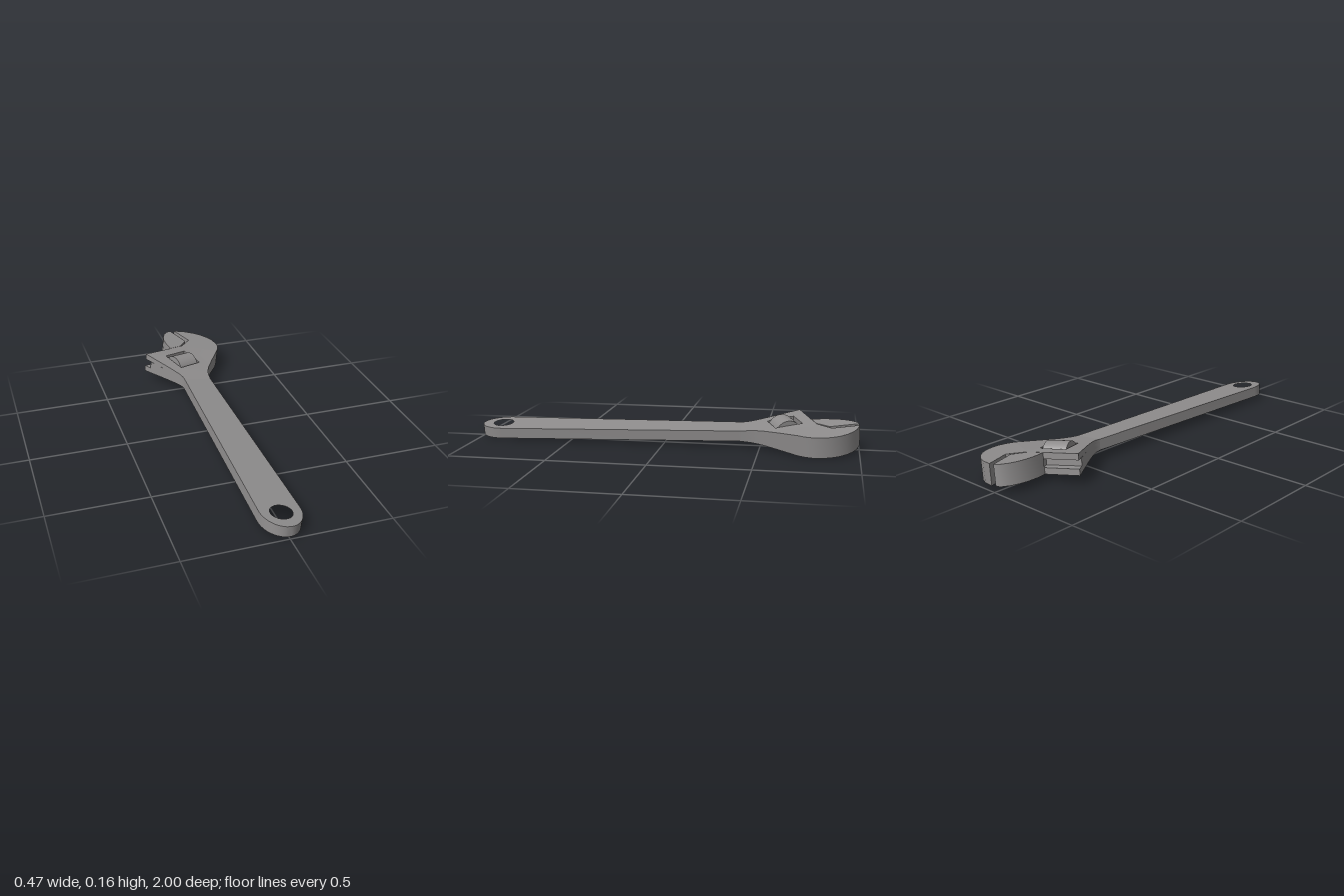
import * as THREE from 'three';
import { toCreasedNormals } from 'three/addons/utils/BufferGeometryUtils.js';

const steel = new THREE.MeshStandardMaterial({ color: 0x8f8d8d });
steel.name = 'steel';

// The tool lies slightly rolled and pitched: mid-plane height at (x, z)
const ROLL = 0.115, PITCH = 0.0215;
const midY = (x, z) => 0.062 - ROLL * x - PITCH * z;
const normal = new THREE.Vector3(ROLL, 1, PITCH).normalize();

// Half thickness: slim handle, swelling into the head
const halfThickness = (z) =>
  THREE.MathUtils.lerp(0.0275, 0.0525, THREE.MathUtils.clamp((-0.4 - z) / 0.29, 0, 1));

const toShape = (points, Type = THREE.Shape) =>
  new Type(points.map(([x, z]) => new THREE.Vector2(x, -z)));

// Plate with an (x, z) outline between relative heights t0 and t1 (-1 bottom, 1 top)
function plate(name, outline, holes = [], t0 = -1, t1 = 1) {
  const shape = toShape(outline);
  holes.forEach((h) => shape.holes.push(toShape(h, THREE.Path)));
  const geo = new THREE.ExtrudeGeometry(shape, { depth: t1 - t0, bevelEnabled: false });
  geo.translate(0, 0, t0).rotateX(-Math.PI / 2);
  const p = geo.attributes.position;
  for (let i = 0; i < p.count; i++) {
    const x = p.getX(i), z = p.getZ(i), d = p.getY(i) * halfThickness(z);
    p.setXYZ(i, x + normal.x * d, midY(x, z) + normal.y * d, z + normal.z * d);
  }
  const mesh = new THREE.Mesh(toCreasedNormals(geo, 0.5), steel);
  mesh.name = name;
  return mesh;
}

// Points on an ellipse arc in (x, z)
function arc(cx, cz, rx, rz, a0, a1, n) {
  return Array.from({ length: n + 1 }, (_, i) => {
    const a = a0 + ((a1 - a0) * i) / n;
    return [cx + rx * Math.cos(a), cz + rz * Math.sin(a)];
  });
}

export function createModel() {
  const group = new THREE.Group();
  group.name = 'adjustableWrench';

  // Handle with rounded end and hanging hole
  const handle = [[-0.078, -0.4], [0.071, -0.4], ...arc(-0.005, 0.87, 0.1, 0.13, 0, Math.PI, 20)];
  const hangingHole = arc(-0.005, 0.89, 0.053, 0.053, 0, Math.PI * 2, 28).slice(0, -1);
  group.add(plate('handle', handle, [hangingHole]));

  // Neck in three layers; the middle one is set back to leave the jaw slot
  const axis = [0.925, -0.38], across = [0.38, 0.925], centre = [-0.03, -0.622];
  const wormWindow = [[-1, -1], [1, -1], [1, 1], [-1, 1]].map(([u, v]) =>
    [0, 1].map((k) => centre[k] + u * 0.067 * axis[k] + v * 0.072 * across[k]));
  const sides = [
    [-0.14, -0.545], [-0.115, -0.503], [-0.092, -0.46], [-0.081, -0.43], [-0.078, -0.4],
    [0.071, -0.4], [0.074, -0.45], [0.082, -0.485], [0.098, -0.525], [0.14, -0.6], [0.2, -0.7],
  ];
  const fullEdge = [[0.01, -0.785], [-0.23, -0.69]];
  const slotEdge = [[0.026, -0.778], [0.025, -0.748], [-0.208, -0.652]];
  group.add(
    plate('neckTop', [...sides, ...fullEdge], [wormWindow], 0.4, 1),
    plate('neckCore', [...sides, ...slotEdge], [wormWindow], -0.4, 0.4),
    plate('neckBottom', [...sides, ...fullEdge], [wormWindow], -1, -0.4),
  );

  // Fixed jaw
  group.add(plate('fixedJaw', [
    [0.2, -0.7], [0.218, -0.735], [0.229, -0.775], [0.229, -0.815], [0.218, -0.86], [0.197, -0.9],
    [0.167, -0.935], [0.13, -0.963], [0.085, -0.985], [0.021, -1], [0.074, -0.862], [0.01, -0.785],
  ]));

  // Movable jaw and its shank in the slot
  group.add(plate('movableJaw', [
    [-0.066, -0.757], [0.002, -0.784], [0.05, -0.852], [-0.004, -0.997], [-0.03, -0.985],
    [-0.053, -0.955], [-0.069, -0.915], [-0.077, -0.87], [-0.076, -0.81],
  ]));
  group.add(plate('jawShank', [
    [-0.06, -0.765], [0.004, -0.79], [0.022, -0.749], [-0.044, -0.722],
  ], [], -0.38, 0.38));

  // Adjusting worm and its axle pin
  const direction = new THREE.Vector3(
    axis[0], -ROLL * axis[0] - PITCH * axis[1], axis[1]).normalize();
  for (const [name, radius, length] of [['worm', 0.07, 0.122], ['wormAxle', 0.016, 0.16]]) {
    const mesh = new THREE.Mesh(new THREE.CylinderGeometry(radius, radius, length, 32), steel);
    mesh.name = name;
    mesh.position.set(centre[0], midY(...centre), centre[1]);
    mesh.quaternion.setFromUnitVectors(new THREE.Vector3(0, 1, 0), direction);
    group.add(mesh);
  }
  return group;
}
